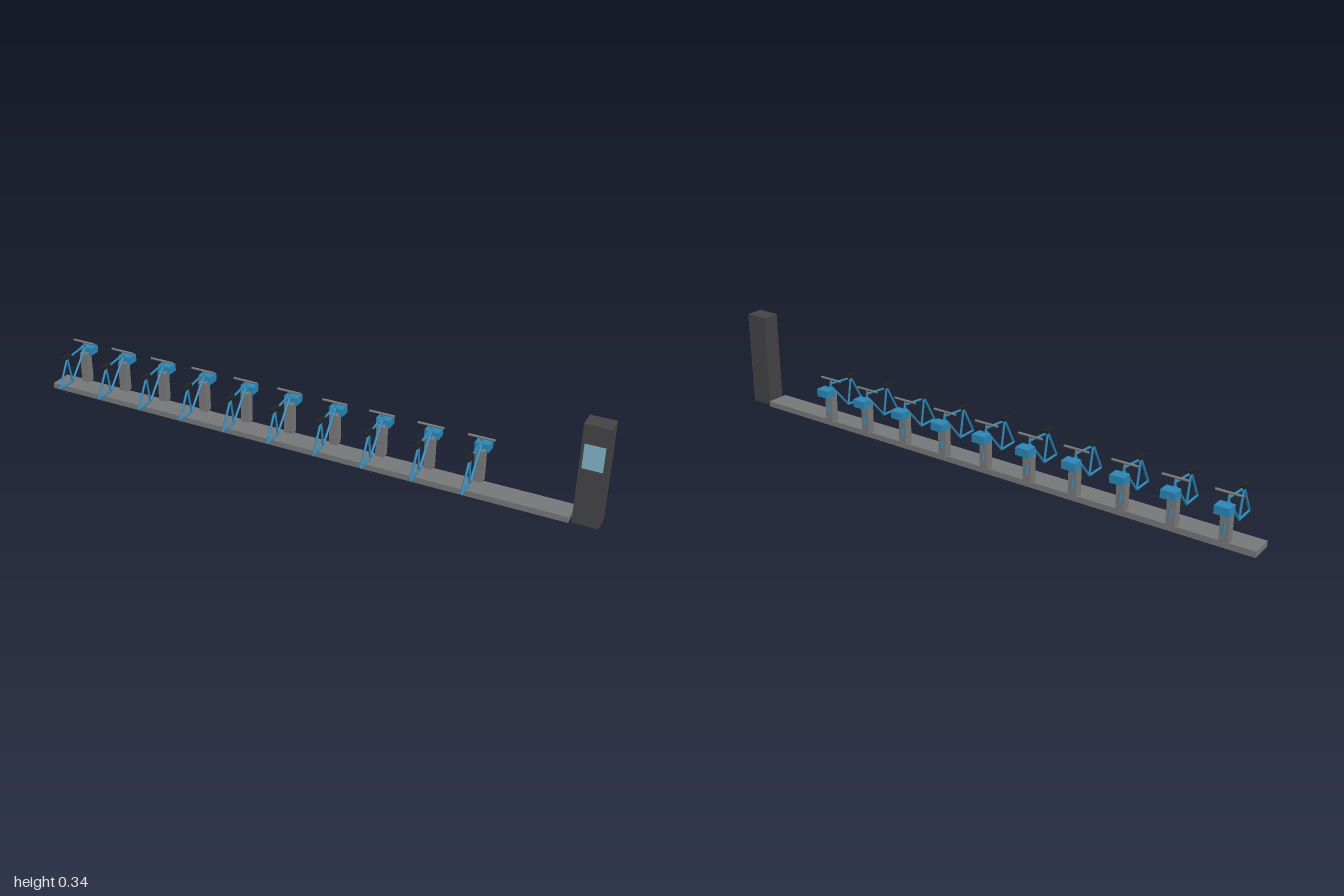
import * as THREE from 'three';

const mat = (name, color, side = THREE.FrontSide) => {
  const m = new THREE.MeshStandardMaterial({ color, side });
  m.name = name;
  return m;
};

export function createModel() {
  const grey = mat('steel grey', 0x7a7a7c);
  const plinthGrey = mat('plinth grey', 0x76787a, THREE.DoubleSide);
  const charcoal = mat('charcoal', 0x444347);
  const blue = mat('bike blue', 0x2c88b8);
  const black = mat('saddle black', 0x1f2423);
  const glass = mat('screen blue', 0x84b6cc);

  const model = new THREE.Group();
  model.name = 'bikeStation';

  const add = (parent, name, geometry, material) => {
    const mesh = new THREE.Mesh(geometry, material);
    mesh.name = name;
    parent.add(mesh);
    return mesh;
  };

  // Box given by its lower and upper limits on each axis
  const box = (x0, x1, y0, y1, z0, z1) =>
    new THREE.BoxGeometry(x1 - x0, y1 - y0, z1 - z0)
      .translate((x0 + x1) / 2, (y0 + y1) / 2, (z0 + z1) / 2);

  // Round tube in the bike's middle plane between two [z, y] points
  const tube = (a, b, r = 0.004) => {
    const p = new THREE.Vector3(0, a[1], a[0]);
    const q = new THREE.Vector3(0, b[1], b[0]);
    const dir = q.clone().sub(p);
    const turn = new THREE.Quaternion().setFromUnitVectors(
      new THREE.Vector3(0, 1, 0), dir.clone().normalize());
    return new THREE.CylinderGeometry(r, r, dir.length(), 10)
      .applyQuaternion(turn)
      .translate(0, (p.y + q.y) / 2, (p.z + q.z) / 2);
  };

  // Long hollow plinth, open underneath: drop the bottom face of a box
  const plinth = box(-1, 0.91, 0, 0.02, -0.06, 0.02);
  const index = Array.from(plinth.index.array);
  index.splice(18, 6);
  plinth.setIndex(index);
  add(model, 'plinth', plinth, plinthGrey);

  // Payment kiosk with its screen
  const kiosk = new THREE.Group();
  kiosk.name = 'kiosk';
  model.add(kiosk);
  add(kiosk, 'kioskBody', box(0.918, 1, 0, 0.336, -0.05, 0.012), charcoal);
  add(kiosk, 'kioskScreen', box(0.927, 0.99, 0.192, 0.273, 0.011, 0.014), glass);

  // Dock post, a side profile with a chamfered back top edge
  const profile = new THREE.Shape([
    [-0.045, 0.02], [-0.073, 0.02], [-0.073, 0.121], [-0.066, 0.131], [-0.045, 0.131],
  ].map(([z, y]) => new THREE.Vector2(-z, y)));
  const post = new THREE.ExtrudeGeometry(profile, { depth: 0.03, bevelEnabled: false })
    .translate(0, 0, -0.015).rotateY(Math.PI / 2);

  // Bike frame joints as [z, y]
  const rear = [0.099, 0.055];
  const crank = [0.028, 0.054];
  const seat = [0.045, 0.152];
  const head = [-0.058, 0.159];
  const tubes = {
    chainStay: tube(rear, crank),
    seatStay: tube(rear, seat),
    seatTube: tube(crank, seat),
    topTube: tube([0.045, 0.15], head),
    downTube: tube(crank, [-0.058, 0.15]),
    fork: tube([-0.057, 0.163], [-0.075, 0.053]),
  };
  const joint = new THREE.SphereGeometry(0.004, 10, 6);
  const saddle = box(-0.0075, 0.0075, 0.152, 0.162, 0.028, 0.07);
  const basket = box(-0.024, 0.024, 0.121, 0.148, -0.102, -0.063);
  const stem = tube([-0.057, 0.16], [-0.055, 0.174], 0.0035);
  const bar = new THREE.CylinderGeometry(0.004, 0.004, 0.088, 10)
    .rotateZ(Math.PI / 2).translate(0, 0.174, -0.055);

  // Ten docks in a row, each holding a bike
  for (let i = 0; i < 10; i++) {
    const dock = new THREE.Group();
    dock.name = `dock${i + 1}`;
    dock.position.x = -0.905 + i * 0.1672;
    model.add(dock);
    add(dock, 'dockPost', post, grey);

    const bike = new THREE.Group();
    bike.name = 'bike';
    dock.add(bike);
    for (const [name, geometry] of Object.entries(tubes)) add(bike, name, geometry, blue);
    for (const [z, y] of [rear, crank]) {
      add(bike, 'frameJoint', joint, blue).position.set(0, y, z);
    }
    add(bike, 'basket', basket, blue);
    add(bike, 'saddle', saddle, black);
    add(bike, 'stem', stem, grey);
    add(bike, 'handlebar', bar, grey);
  }

  return model;
}
